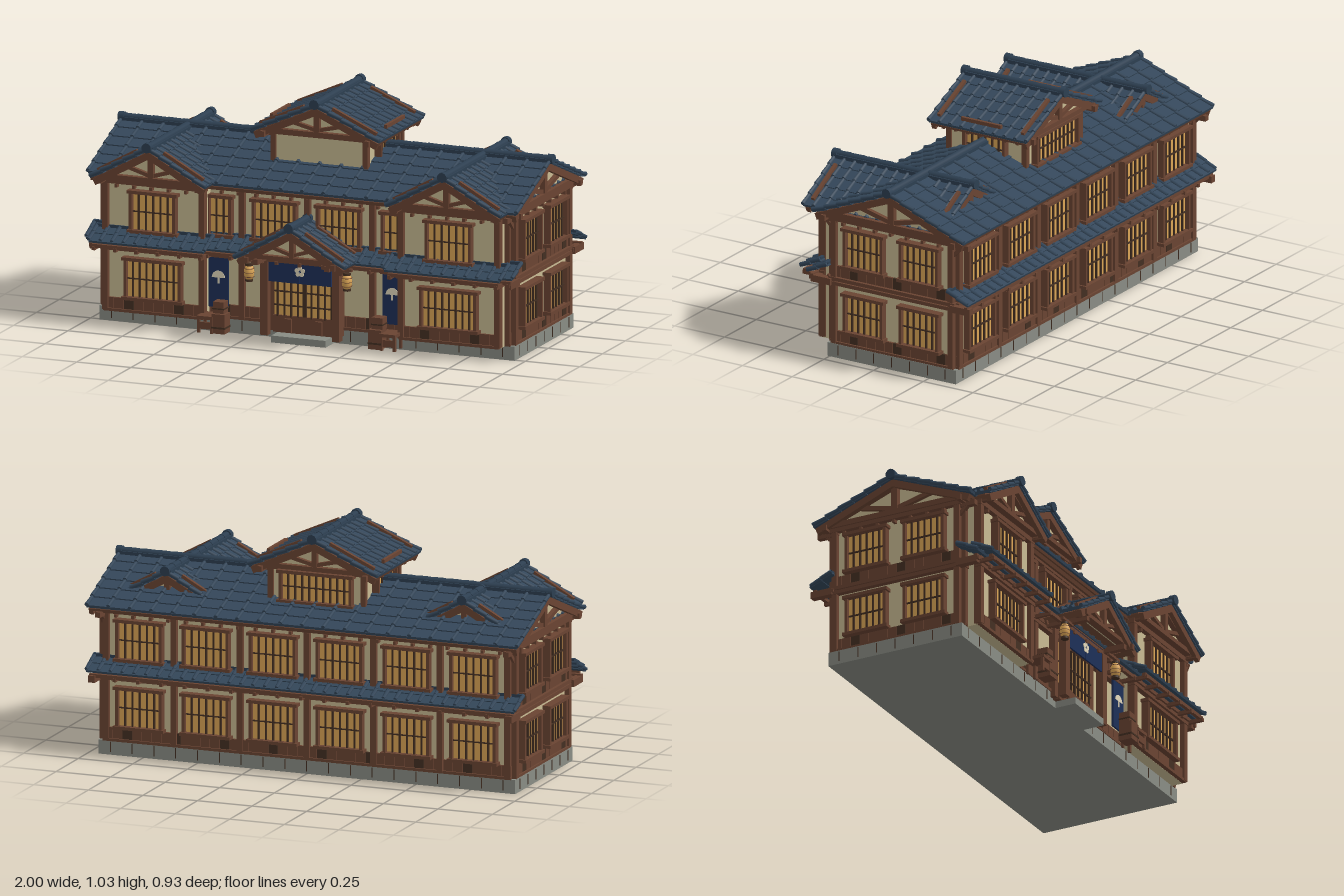
import * as THREE from 'three';
import { mergeGeometries } from 'three/addons/utils/BufferGeometryUtils.js';

const COLORS = {
  roofTile: 0x34475a, ridgeTile: 0x2d3f51, timber: 0x6a4432, darkTimber: 0x432f22, plaster: 0xc8ba92,
  paperPane: 0xdca656, stone: 0x898c84, indigoCloth: 0x1d2f58, paleMotif: 0xe2d8bc,
};

export function createModel() {
  const model = new THREE.Group();
  model.name = 'inn';
  const mats = {};
  for (const [name, color] of Object.entries(COLORS)) {
    mats[name] = new THREE.MeshStandardMaterial({ color });
    mats[name].name = name;
  }

  // Collects the pieces of one part and merges them by colour.
  function part(name, build, x = 0, y = 0, z = 0, ry = 0) {
    const lists = {};
    const add = (mat, geo, px, py, pz, rx = 0, ryy = 0, rz = 0) => {
      const m = new THREE.Matrix4().makeRotationFromEuler(new THREE.Euler(rx, ryy, rz)).setPosition(px, py, pz);
      (lists[mat] ||= []).push((geo.index ? geo.toNonIndexed() : geo.clone()).applyMatrix4(m));
    };
    const box = (mat, w, h, d, px, py, pz, rx, ryy, rz) =>
      add(mat, new THREE.BoxGeometry(w, h, d), px, py, pz, rx, ryy, rz);
    build(box, add);
    const group = new THREE.Group();
    group.name = name;
    for (const [mat, list] of Object.entries(lists)) {
      const mesh = new THREE.Mesh(mergeGeometries(list), mats[mat]);
      mesh.name = name + ' ' + mat;
      group.add(mesh);
    }
    group.position.set(x, y, z);
    group.rotation.y = ry;
    model.add(group);
  }

  // Beam between two points of a plane z = const.
  const strut = (box, x0, y0, x1, y1, z, t, d, mat = 'timber') =>
    box(mat, Math.hypot(x1 - x0, y1 - y0), t, d, (x0 + x1) / 2, (y0 + y1) / 2, z, 0, 0, Math.atan2(y1 - y0, x1 - x0));

  // Tiled gable roof, ridge along z.
  const gableRoof = (hw, yE, yR, len, ribs, courses, strip) => (box, add) => {
    const a = Math.atan2(yR - yE, hw), L = Math.hypot(hw, yR - yE), c = L / courses, step = len / ribs;
    for (const s of [-1, 1]) {
      const at = (d, up) => [s * (d * Math.cos(a) + up * Math.sin(a)), yR - d * Math.sin(a) + up * Math.cos(a)];
      const piece = (mat, l, h, w, d, up, z, tilt = 0) => {
        const [px, py] = at(d, up);
        box(mat, l, h, w, px, py, z, 0, 0, -s * (a - tilt));
      };
      piece('timber', L, 0.012, len - 0.04, L / 2, -0.012, 0);
      const rib = new THREE.CylinderGeometry(0.008, 0.01, c * 1.05, 6);
      for (let k = 0; k < courses; k++) {
        const d = (k + 0.5) * c;
        piece('roofTile', c * 1.12, 0.012, len, d, 0.003, 0, 0.08);
        for (let i = 0; i <= ribs; i++) {
          const [px, py] = at(d, 0.01);
          add('roofTile', rib, px, py, -len / 2 + i * step, 0, 0, s * (Math.PI / 2 - a + 0.08));
        }
      }
      // eave beam, rake boards and strips lying on the tiles
      piece('timber', 0.02, 0.02, len - 0.02, L - 0.025, -0.024, 0);
      for (const e of [-1, 1]) {
        piece('timber', L, 0.03, 0.02, L / 2, -0.022, e * (len / 2 - 0.015));
        if (strip) piece('timber', L * 0.7, 0.014, 0.016, L * 0.55, 0.018, e * (len / 2 - 0.035));
      }
    }
    const n = Math.round(len / 0.07);
    const cap = new THREE.CylinderGeometry(0.016, 0.018, len / n, 8);
    box('ridgeTile', 0.045, 0.02, len, 0, yR + 0.004, 0);
    for (let i = 0; i < n; i++) add('ridgeTile', cap, 0, yR + 0.012, -len / 2 + (i + 0.5) * len / n, Math.PI / 2);
    for (const e of [-1, 1])
      add('ridgeTile', new THREE.CylinderGeometry(0.022, 0.022, 0.026, 10), 0, yR + 0.012, e * (len / 2 + 0.002), Math.PI / 2);
  };

  // Plastered gable triangle with exposed framing, facing +z.
  const truss = (hw, yB, yT, cut = 0.02) => (box, add) => {
    const tri = new THREE.Shape([new THREE.Vector2(-hw, yB), new THREE.Vector2(hw, yB), new THREE.Vector2(0, yT)]);
    add('plaster', new THREE.ExtrudeGeometry(tri, { depth: 0.02, bevelEnabled: false }), 0, 0, -0.02);
    const h = yT - yB;
    box('timber', hw * 2 + 0.06, cut, 0.035, 0, yB + 0.004, 0.008);
    box('timber', cut * 1.2, h, 0.03, 0, yB + h / 2, 0.01);
    for (const s of [-1, 1]) {
      strut(box, s * hw, yB + 0.012, 0, yT - 0.005, 0.008, cut, 0.03);
      strut(box, 0, yB + 0.02, s * hw * 0.52, yB + h * 0.45, 0.006, cut * 0.8, 0.025);
      box('timber', 0.02, 0.025, 0.06, s * hw, yB - 0.01, 0.02);
    }
  };

  // Lattice window on a wall facing +z.
  const windowAt = (box, x, y0, y1, w) => {
    const h = y1 - y0, y = (y0 + y1) / 2, n = Math.max(3, Math.round(w / 0.032));
    box('paperPane', w, h, 0.016, x, y, 0.004);
    for (const s of [-1, 1]) {
      box('timber', 0.013, h, 0.034, x + s * w / 2, y, 0.015);
      box('timber', w + 0.03, 0.014, 0.04, x, y + s * h / 2, 0.018);
    }
    for (let i = 1; i < n; i++) box('darkTimber', 0.007, h, 0.012, x - w / 2 + i * w / n, y, 0.014);
    box('darkTimber', w, 0.005, 0.01, x, y, 0.015);
  };

  // Two-storey wall face: dado planks, beams, posts and windows.
  const wall = (w, posts, lower, upper) => (box) => {
    const n = Math.round(w / 0.045);
    for (const y of [0.094, 0.388]) for (let i = 0; i < n; i++)
      box(i % 5 === 2 ? 'darkTimber' : 'timber', w / n - 0.002, 0.05, 0.016, -w / 2 + (i + 0.5) * w / n, y, 0.003);
    box('timber', w, 0.012, 0.03, 0, 0.066, 0.004);
    box('timber', w + 0.02, 0.016, 0.034, 0, 0.356, 0.008);
    box('timber', w + 0.02, 0.016, 0.034, 0, 0.336, 0.008);
    box('timber', w + 0.02, 0.022, 0.034, 0, 0.63, 0.006);
    for (let x = -w / 2 + 0.06; x < w / 2; x += 0.08) box('timber', 0.012, 0.014, 0.03, x, 0.61, 0.008);
    for (const x of posts) box('timber', 0.026, 0.56, 0.034, x, 0.345, 0.004);
    for (const [x, ww] of lower) windowAt(box, x, 0.125, 0.297, ww);
    for (const [x, ww] of upper) windowAt(box, x, 0.42, 0.592, ww);
  };

  // Narrow tiled skirt roof between the storeys, facing +z.
  const skirt = (len) => (box, add) => {
    const a = Math.atan2(0.048, 0.1), n = Math.round(len / 0.055);
    const rib = new THREE.CylinderGeometry(0.008, 0.01, 0.056, 6);
    for (const [k, z] of [0.028, 0.078].entries()) {
      const y = 0.41 - k * 0.024;
      box('roofTile', len, 0.01, 0.062, 0, y, z, a - 0.08);
      for (let i = 0; i <= n; i++) add('roofTile', rib, -len / 2 + i * len / n, y + 0.007, z, Math.PI / 2 + a - 0.08);
    }
    box('ridgeTile', len, 0.018, 0.016, 0, 0.424, 0.008);
    box('timber', len - 0.02, 0.016, 0.016, 0, 0.355, 0.088);
    for (let i = 0; i <= n / 2; i++) box('timber', 0.014, 0.016, 0.1, -len / 2 + 0.02 + i * (len - 0.04) / Math.floor(n / 2), 0.345, 0.052);
  };

  // Foundation and main body
  part('foundation', (box) => {
    box('stone', 1.91, 0.062, 0.645, 0, 0.031, -0.0625);
    box('stone', 0.25, 0.03, 0.12, 0, 0.015, 0.297);
    for (let i = -9; i <= 9; i++) for (const z of [0.2605, -0.3855]) box('darkTimber', 0.004, 0.045, 0.002, i * 0.1, 0.034, z);
    for (let i = -3; i <= 3; i++) for (const s of [-1, 1]) box('darkTimber', 0.002, 0.045, 0.004, s * 0.9555, 0.034, -0.0625 + i * 0.09);
  });
  part('body', (box) => box('plaster', 1.87, 0.585, 0.615, 0, 0.352, -0.0625));

  const backX = [-0.765, -0.46, -0.153, 0.153, 0.46, 0.765];
  const backWins = backX.map((x) => [x, 0.2]);
  const sideWins = [[-0.14, 0.185], [0.14, 0.185]];
  part('frontWall', wall(1.87, [-0.92, -0.3, 0, 0.3, 0.92], [], [[-0.148, 0.19], [0.148, 0.19], [-0.4, 0.1], [0.4, 0.1]]), 0, 0, 0.245);
  part('backWall', wall(1.87, [-0.92, -0.61, -0.306, 0, 0.306, 0.61, 0.92], backWins, backWins), 0, 0, -0.37, Math.PI);
  part('frontSkirtRoof', skirt(1.96), 0, 0, 0.245);
  part('backSkirtRoof', skirt(1.96), 0, 0, -0.355, Math.PI);
  part('mainRoof', gableRoof(0.375, 0.65, 0.8, 1.97, 20, 6, false), 0, 0, -0.0625, Math.PI / 2);
  for (const s of [-1, 1]) {
    part('sideWall', wall(0.615, [-0.295, 0.295], sideWins, sideWins), s * 0.935, 0, -0.0625, s * Math.PI / 2);
    part('sideGable', truss(0.325, 0.645, 0.782, 0.024), s * 0.94, 0, -0.0625, s * Math.PI / 2);
    // brackets carrying the eaves at the corners
    part('eaveBrackets', (box) => {
      for (const e of [-1, 1]) {
        box('timber', 0.024, 0.024, 0.1, s * 0.935, 0.62, -0.0625 + e * 0.33);
        box('timber', 0.02, 0.08, 0.016, s * 0.935, 0.6, -0.0625 + e * 0.325, e * 0.75);
        box('timber', 0.03, 0.03, 0.1, s * 0.955, 0.342, -0.0625 + e * 0.35);
      }
    });

    // Front wings with their own gables, roofs running through to the back slope
    part('wingBody', (box) => box('plaster', 0.46, 0.585, 0.1, s * 0.68, 0.352, 0.26));
    part('wingWall', wall(0.46, [-0.222, 0.222], [[0, 0.25]], [[0, 0.2]]), s * 0.68, 0, 0.31);
    part('wingSkirtRoof', skirt(0.53), s * 0.68, 0, 0.3);
    part('wingGable', truss(0.225, 0.65, 0.772), s * 0.68, 0, 0.335);
    part('wingBackGable', truss(0.2, 0.66, 0.772), s * 0.68, 0, -0.265, Math.PI);
    part('wingRoof', gableRoof(0.26, 0.65, 0.793, 0.69, 13, 5, true), s * 0.68, 0, 0.045);

    // Banner with a plain fan motif
    part('banner', (box, add) => {
      box('indigoCloth', 0.092, 0.22, 0.008, 0, 0.22, 0);
      box('timber', 0.11, 0.01, 0.014, 0, 0.332, 0);
      add('paleMotif', new THREE.CylinderGeometry(0.03, 0.03, 0.004, 12, 1, false, Math.PI / 2, Math.PI), 0, 0.24, 0.005, Math.PI / 2);
      box('paleMotif', 0.008, 0.03, 0.004, 0, 0.23, 0.005);
    }, s * 0.4, 0, 0.275);

    // Hanging lantern
    part('lantern', (box, add) => {
      add('paperPane', new THREE.SphereGeometry(0.025, 12, 8).scale(0.9, 1.5, 0.9), 0, 0.298, 0);
      for (const y of [0.264, 0.332]) add('darkTimber', new THREE.CylinderGeometry(0.017, 0.017, 0.01, 10), 0, y, 0);
      for (const y of [0.28, 0.298, 0.316]) add('timber', new THREE.TorusGeometry(0.022, 0.0015, 4, 12), 0, y, 0, Math.PI / 2);
      box('timber', 0.09, 0.012, 0.014, -s * 0.02, 0.35, 0);
    }, s * 0.225, 0, 0.36);

    // Bench and tub beside the entrance
    part('bench', (box) => {
      box('timber', 0.075, 0.014, 0.09, s * 0.42, 0.085, 0.34);
      for (const x of [0.39, 0.45]) for (const z of [0.305, 0.375]) box('timber', 0.012, 0.065, 0.012, s * x, 0.05, z);
      box('timber', 0.075, 0.03, 0.01, s * 0.42, 0.05, 0.375);
    });
    part('tub', (box) => {
      box('timber', 0.06, 0.085, 0.06, s * 0.36, 0.062, 0.35);
      box('darkTimber', 0.064, 0.008, 0.064, s * 0.36, 0.045, 0.35);
      box('timber', 0.05, 0.05, 0.05, s * 0.365, 0.13, 0.34);
      box('darkTimber', 0.054, 0.006, 0.054, s * 0.365, 0.125, 0.34);
    });
  }

  // Entrance porch: posts, lattice doors, split curtain, gable roof
  part('porch', (box, add) => {
    for (const s of [-1, 1]) {
      box('timber', 0.034, 0.35, 0.034, s * 0.165, 0.2, 0.325);
      box('timber', 0.028, 0.33, 0.03, s * 0.155, 0.2, 0.268);
      box('timber', 0.024, 0.024, 0.2, s * 0.165, 0.365, 0.34);
      box('indigoCloth', 0.143, 0.105, 0.008, s * 0.0725, 0.315, 0.335);
      box('timber', 0.03, 0.06, 0.014, s * 0.07, 0.065, 0.3);
    }
    box('timber', 0.29, 0.075, 0.03, 0, 0.068, 0.275);
    box('paperPane', 0.28, 0.2, 0.014, 0, 0.2, 0.275);
    for (let i = -4; i <= 4; i++) box('darkTimber', i === 0 ? 0.016 : 0.007, 0.2, 0.012, i * 0.031, 0.2, 0.284);
    for (const y of [0.15, 0.21]) box('darkTimber', 0.28, 0.006, 0.01, 0, y, 0.284);
    box('timber', 0.4, 0.024, 0.034, 0, 0.38, 0.325);
    // five-petal flower on the curtain
    for (let i = 0; i < 5; i++) {
      const t = Math.PI / 2 + i * Math.PI * 0.4;
      add('paleMotif', new THREE.CylinderGeometry(0.01, 0.01, 0.004, 10), 0.015 * Math.cos(t), 0.316 + 0.015 * Math.sin(t), 0.34, Math.PI / 2);
    }
  });
  part('porchGable', truss(0.2, 0.385, 0.5, 0.018), 0, 0, 0.41);
  part('porchRoof', gableRoof(0.25, 0.375, 0.52, 0.2, 4, 5, true), 0, 0, 0.355);

  // Roof lantern storey
  part('cupolaBody', (box) => {
    box('plaster', 0.43, 0.24, 0.38, 0, 0.755, -0.0725);
    for (const s of [-1, 1]) {
      for (const z of [0.118, -0.262]) box('timber', 0.024, 0.24, 0.024, s * 0.212, 0.755, z);
      box('timber', 0.024, 0.02, 0.48, s * 0.25, 0.866, -0.0725);
      box('timber', 0.014, 0.016, 0.2, s * 0.262, 0.904, -0.0725);
      for (let i = -3; i <= 3; i++) box('timber', 0.07, 0.014, 0.014, s * 0.24, 0.85, -0.0725 + i * 0.062);
    }
    for (const z of [0.122, -0.266]) box('timber', 0.5, 0.018, 0.024, 0, 0.862, z);
  });
  const cupolaWindow = (w) => (box) => windowAt(box, 0, 0.72, 0.85, w);
  part('cupolaBackWindow', cupolaWindow(0.32), 0, 0, -0.2625, Math.PI);
  for (const s of [-1, 1]) part('cupolaSideWindow', cupolaWindow(0.2), s * 0.215, 0, -0.0725, s * Math.PI / 2);
  part('cupolaFrontGable', truss(0.24, 0.87, 0.98), 0, 0, 0.135);
  part('cupolaBackGable', truss(0.24, 0.87, 0.98), 0, 0, -0.28, Math.PI);
  part('cupolaRoof', gableRoof(0.29, 0.868, 0.998, 0.49, 9, 5, true), 0, 0, -0.0725);

  return model;
}
